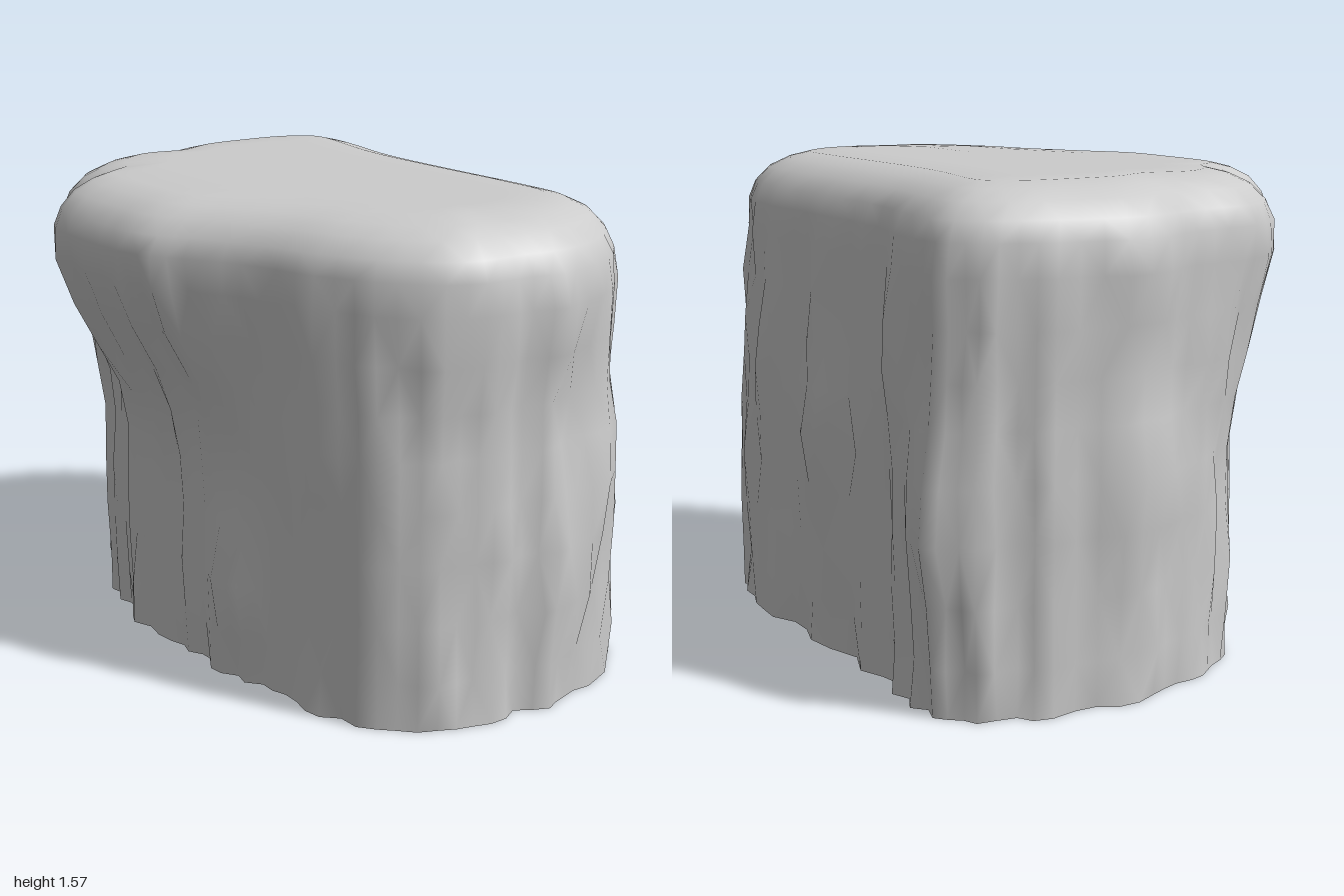
import * as THREE from 'three';

// Outline stations: [shoulder x, shoulder z, base x, base z]
const STATIONS = [
  [-0.37, -0.90, -0.30, -0.84], [-0.54, -0.77, -0.42, -0.70], [-0.62, -0.62, -0.48, -0.54],
  [-0.72, -0.53, -0.51, -0.42], [-0.75, -0.20, -0.53, -0.18], [-0.74, -0.04, -0.53, 0.00],
  [-0.65, 0.12, -0.52, 0.18], [-0.55, 0.32, -0.49, 0.36], [-0.48, 0.54, -0.47, 0.57],
  [-0.37, 0.74, -0.37, 0.77], [-0.19, 0.90, -0.20, 0.90], [0.00, 0.92, 0.00, 0.93],
  [0.17, 0.94, 0.17, 0.95], [0.35, 0.90, 0.36, 0.92], [0.51, 0.79, 0.54, 0.81],
  [0.59, 0.64, 0.62, 0.69], [0.61, 0.40, 0.65, 0.42], [0.61, 0.10, 0.65, 0.10],
  [0.62, -0.25, 0.65, -0.30], [0.67, -0.55, 0.67, -0.55], [0.66, -0.74, 0.67, -0.74],
  [0.54, -0.85, 0.55, -0.85], [0.35, -0.92, 0.35, -0.91], [0.10, -0.96, 0.10, -0.94],
  [-0.15, -0.91, -0.12, -0.90],
];

// Local bulges and hollows: [x, y, z, push, width, height]
const BUMPS = [
  [0.68, 0.58, -0.72, 0.06, 0.12, 0.2], [0.17, 0.36, 0.95, 0.04, 0.13, 0.2],
  [0.32, 0.70, 0.93, 0.04, 0.12, 0.18], [0.15, 1.30, 0.95, 0.04, 0.25, 0.16],
  [0.10, 1.32, -0.95, 0.03, 0.25, 0.2], [0.10, 0.66, -0.93, 0.04, 0.15, 0.2],
  [0.10, 0.97, 0.95, -0.02, 0.35, 0.15], [0.52, 0.85, 0.83, -0.04, 0.10, 0.45],
  [0.66, 1.00, -0.45, 0.03, 0.12, 0.2], [0.65, 0.70, 0.00, 0.04, 0.10, 0.22],
  [-0.52, 0.33, 0.15, 0.04, 0.12, 0.14], [-0.22, 0.70, 0.90, -0.02, 0.06, 0.5],
];

// Body heights, then the rounded rim: [height, inset]
const BODY = [0, 0.15, 0.34, 0.53, 0.70, 0.86, 1.0, 1.15, 1.3];
const RIM = [[1.40, 0.005], [1.46, 0.03], [1.51, 0.08], [1.54, 0.145], [1.558, 0.22]];
const CAP = [[1.563, 0.35], [1.566, 0.7], [1.568, 1]];
const AROUND = 88;

function closedCurve(xi, zi) {
  return new THREE.CatmullRomCurve3(STATIONS.map(s => new THREE.Vector3(s[xi], 0, s[zi])), true);
}

function seededRandom(seed) {
  return () => {
    seed = (seed * 16807) % 2147483647;
    return seed / 2147483647;
  };
}

function rockGeometry() {
  const shoulder = closedCurve(0, 1), base = closedCurve(2, 3);
  const random = seededRandom(4711);
  const jitter = size => (random() * 2 - 1) * size;
  const pos = [], index = [];
  const rows = [
    ...BODY.map(y => [y, 0, 0]),
    ...RIM.map(([y, inset]) => [y, inset, 0]),
    ...CAP.map(([y, shrink]) => [y, 0.22, shrink]),
  ];
  // Each column keeps its own depth, giving tall cracks and ridges
  const columns = Array.from({ length: AROUND }, () => jitter(0.02));

  rows.forEach(([y, inset, shrink]) => {
    const flare = THREE.MathUtils.smoothstep(y, 0.72, 1.42);
    const rough = 1 - THREE.MathUtils.smoothstep(y, 1.2, 1.5);
    for (let j = 0; j < AROUND; j++) {
      const t = j / AROUND;
      const p = base.getPoint(t).lerp(shoulder.getPoint(t), flare);
      const core = new THREE.Vector3(0, 0, THREE.MathUtils.clamp(p.z, -0.45, 0.45));
      const out = p.clone().sub(core).normalize();
      let push = (columns[j] + jitter(0.014)) * rough - inset;
      for (const [bx, by, bz, amount, w, h] of BUMPS) {
        const d = ((p.x - bx) ** 2 + (p.z - bz) ** 2) / (w * w) + ((y - by) / h) ** 2;
        push += amount * Math.exp(-d);
      }
      p.addScaledVector(out, push).lerp(core, shrink);
      pos.push(p.x, y, p.z);
    }
  });

  for (let i = 0; i < rows.length - 1; i++) {
    for (let j = 0; j < AROUND; j++) {
      const k = (j + 1) % AROUND;
      const a = i * AROUND + j, b = i * AROUND + k;
      const c = b + AROUND, d = a + AROUND;
      // Alternate the diagonals for an irregular face
      if ((i + j) % 2) index.push(a, b, c, a, c, d);
      else index.push(a, b, d, b, c, d);
    }
  }

  const g = new THREE.BufferGeometry();
  g.setAttribute('position', new THREE.Float32BufferAttribute(pos, 3));
  g.setIndex(index);
  g.computeVertexNormals();
  // The flat top faces straight up
  const n = g.attributes.normal;
  for (let v = (rows.length - CAP.length) * AROUND; v < n.count; v++) n.setXYZ(v, 0, 1, 0);
  return g;
}

export function createModel() {
  const group = new THREE.Group();
  group.name = 'rock';
  // Hollow shell, open underneath
  const material = new THREE.MeshStandardMaterial({ color: 0xcccccc, side: THREE.DoubleSide });
  const shell = new THREE.Mesh(rockGeometry(), material);
  shell.name = 'rockShell';
  group.add(shell);
  return group;
}
